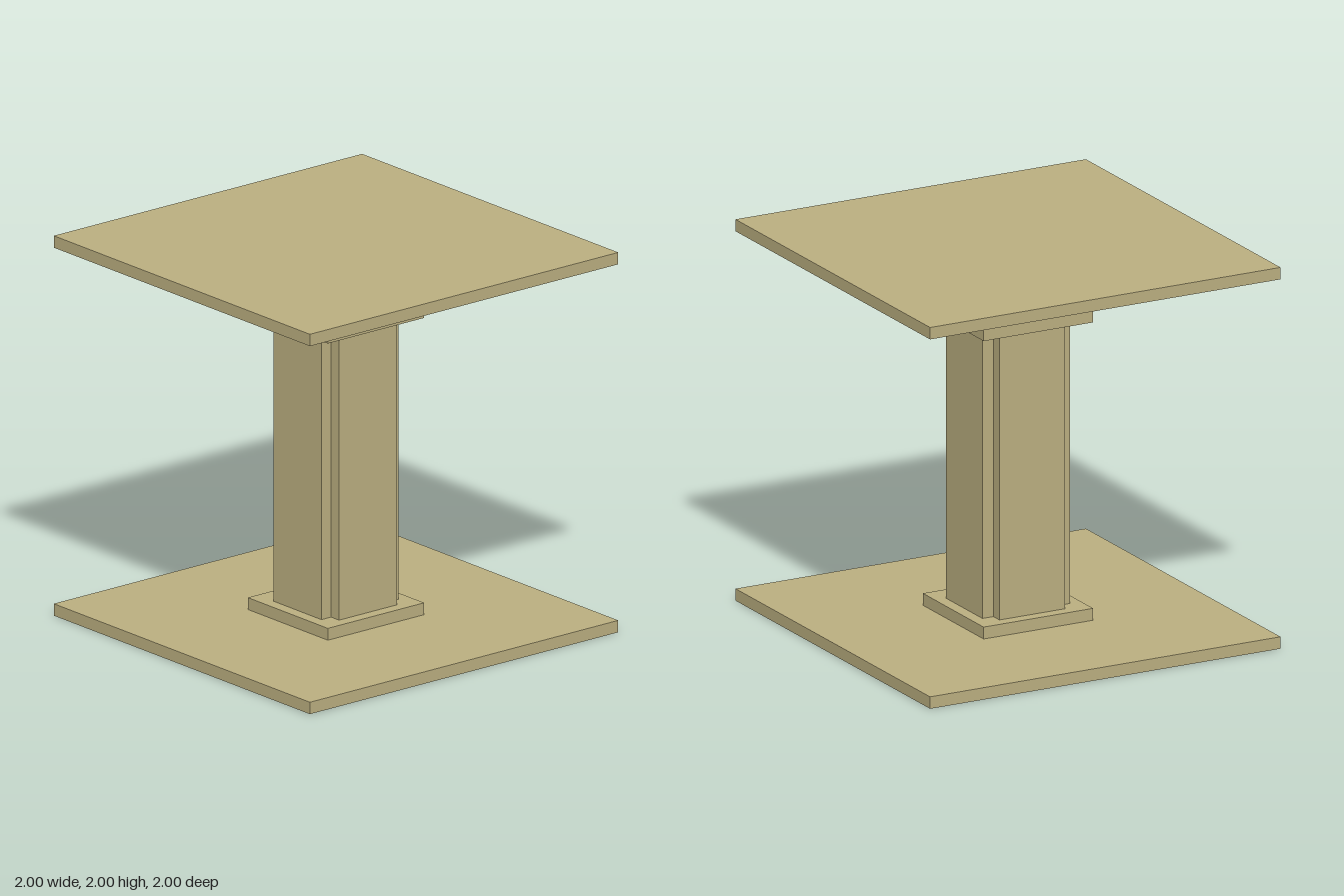
import * as THREE from 'three';

export function createModel() {
  const model = new THREE.Group();
  model.name = 'pedestal';

  const stone = new THREE.MeshStandardMaterial({ color: 0xbbaf80 });
  stone.name = 'sandstone';

  // Square slab of a given width between two heights
  function slab(name, width, bottom, top) {
    const mesh = new THREE.Mesh(new THREE.BoxGeometry(width, top - bottom, width), stone);
    mesh.position.y = (bottom + top) / 2;
    mesh.name = name;
    model.add(mesh);
  }

  slab('bottomPlate', 2, 0, 0.0625);
  slab('columnBase', 0.625, 0.0625, 0.125);
  slab('columnCapital', 0.625, 1.625, 1.9375);
  slab('topPlate', 2, 1.9375, 2);

  // Column shaft: square section with a notch cut from each corner
  const outer = 0.25, inner = 0.1875;
  const points = [];
  for (let i = 0; i < 4; i++) {
    const center = new THREE.Vector2();
    for (const [x, y] of [[outer, inner], [inner, inner], [inner, outer]]) {
      points.push(new THREE.Vector2(x, y).rotateAround(center, i * Math.PI / 2));
    }
  }
  const shaftGeometry = new THREE.ExtrudeGeometry(new THREE.Shape(points), { depth: 1.5, bevelEnabled: false });
  shaftGeometry.rotateX(-Math.PI / 2);
  const shaft = new THREE.Mesh(shaftGeometry, stone);
  shaft.position.y = 0.125;
  shaft.name = 'columnShaft';
  model.add(shaft);

  return model;
}
